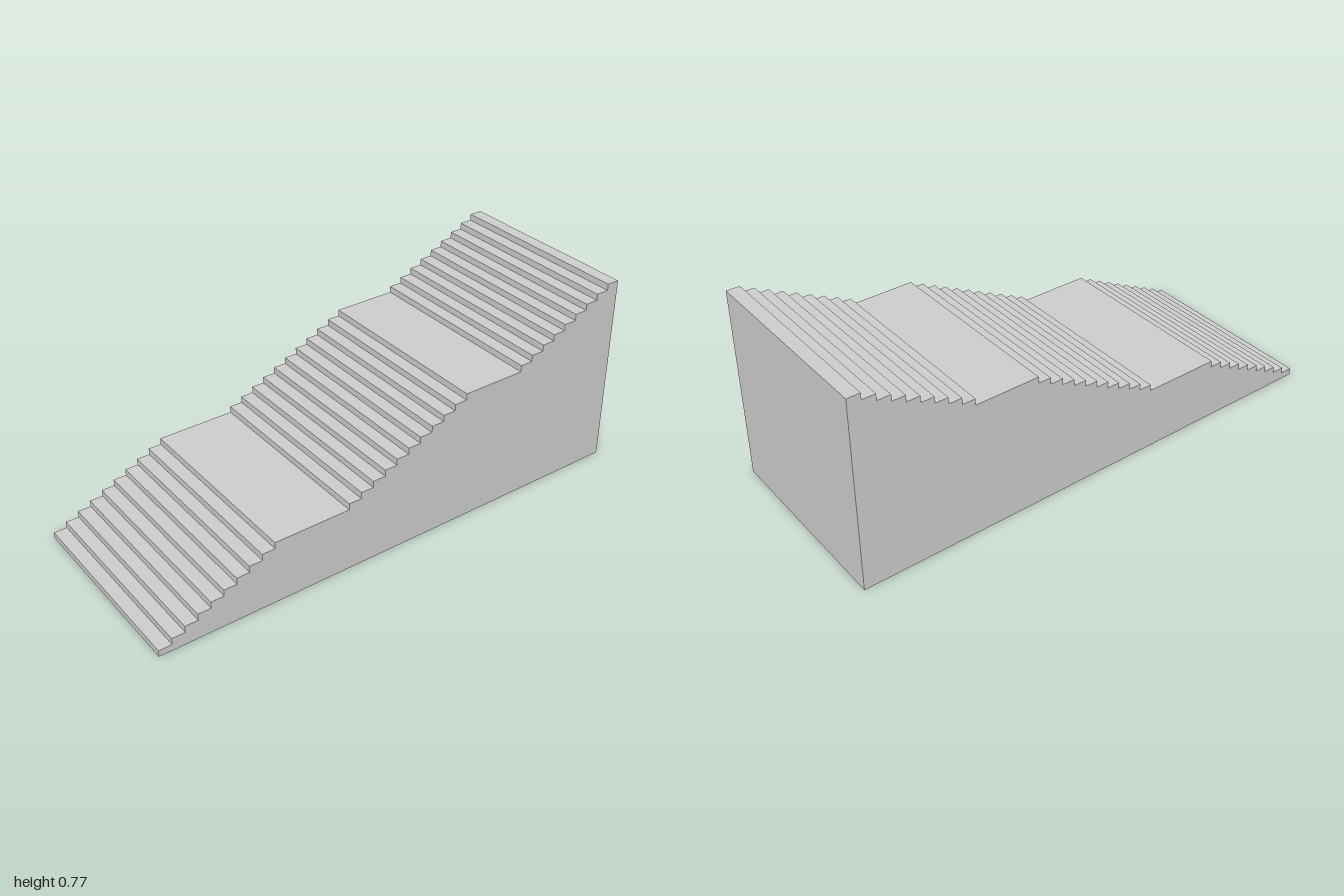
import * as THREE from 'three';

const TREAD = 2 / 39;        // depth of one step
const RISER = TREAD / 2;     // height of one step
const WIDTH = TREAD * 15;

// Steps in each flight, and how many treads deep its last step is (the landings)
const FLIGHTS = [
  { steps: 10, lastDepth: 6 },
  { steps: 11, lastDepth: 5 },
  { steps: 9, lastDepth: 1 },
];

// Side outline of the solid staircase, climbing from front to back
function stairProfile() {
  const shape = new THREE.Shape();
  let run = -1, rise = 0;
  shape.moveTo(run, rise);
  for (const { steps, lastDepth } of FLIGHTS) {
    for (let i = 0; i < steps; i++) {
      rise += RISER;
      shape.lineTo(run, rise);
      run += TREAD * (i === steps - 1 ? lastDepth : 1);
      shape.lineTo(run, rise);
    }
  }
  shape.lineTo(run, 0);
  shape.closePath();
  return shape;
}

export function createModel() {
  const group = new THREE.Group();
  group.name = 'staircase';

  // Solid stair block, extruded across its width and turned to face +z
  const geometry = new THREE.ExtrudeGeometry(stairProfile(), { depth: WIDTH, bevelEnabled: false });
  geometry.translate(0, 0, -WIDTH / 2);
  geometry.rotateY(Math.PI / 2);
  const stairs = new THREE.Mesh(
    geometry,
    new THREE.MeshStandardMaterial({ color: 0xcccccc, flatShading: true })
  );
  stairs.name = 'stairsWithLandings';
  group.add(stairs);

  return group;
}
